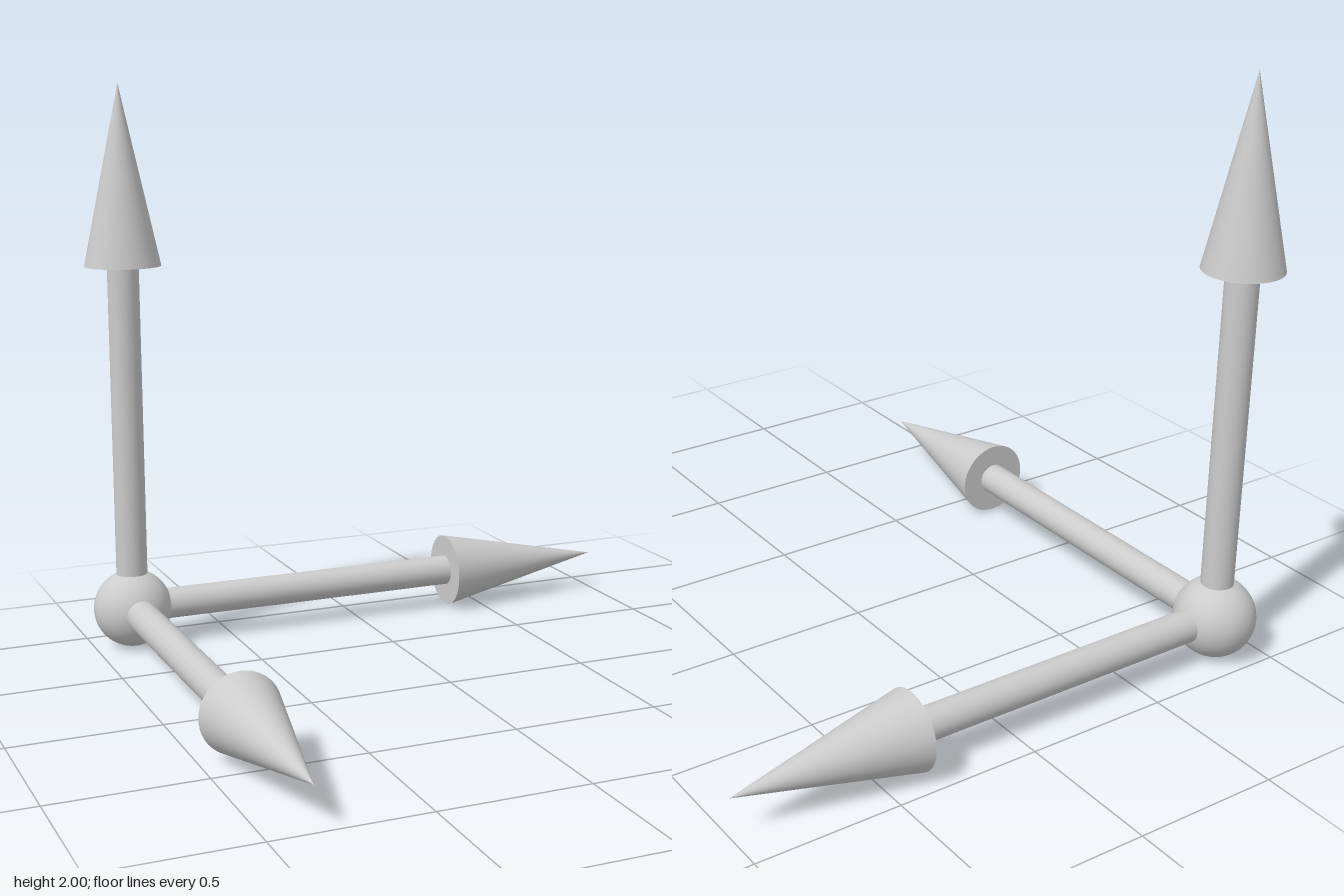
import * as THREE from 'three';

const BALL_R = 0.138;
const SHAFT_R = 0.055;
const HEAD_R = 0.133;
const HEAD_LEN = 0.63;
const LENGTH = 2 - BALL_R; // ball centre to arrow tip

// One arrow growing along +y from the ball centre
function makeArrow(name, material) {
  const arrow = new THREE.Group();
  arrow.name = name;

  const shaftLen = LENGTH - HEAD_LEN;
  const shaft = new THREE.Mesh(new THREE.CylinderGeometry(SHAFT_R, SHAFT_R, shaftLen, 40), material);
  shaft.name = 'shaft';
  shaft.position.y = shaftLen / 2;

  const head = new THREE.Mesh(new THREE.ConeGeometry(HEAD_R, HEAD_LEN, 48, 6), material);
  head.name = 'arrowHead';
  head.position.y = LENGTH - HEAD_LEN / 2;

  arrow.add(shaft, head);
  return arrow;
}

export function createModel() {
  const model = new THREE.Group();
  model.name = 'axisArrows';
  const material = new THREE.MeshStandardMaterial({ color: 0xcccccc });

  // Ball at the shared origin
  const ball = new THREE.Mesh(new THREE.SphereGeometry(BALL_R, 48, 32), material);
  ball.name = 'originBall';
  model.add(ball);

  // Three arrows at right angles
  const up = makeArrow('upArrow', material);
  const side = makeArrow('sideArrow', material);
  side.rotation.z = -Math.PI / 2;
  const front = makeArrow('frontArrow', material);
  front.rotation.x = Math.PI / 2;
  model.add(up, side, front);

  // Centre the whole on x and z, standing on the ball
  model.position.set(BALL_R - 1, BALL_R, BALL_R - 1);
  const root = new THREE.Group();
  root.name = 'model';
  root.add(model);
  return root;
}
